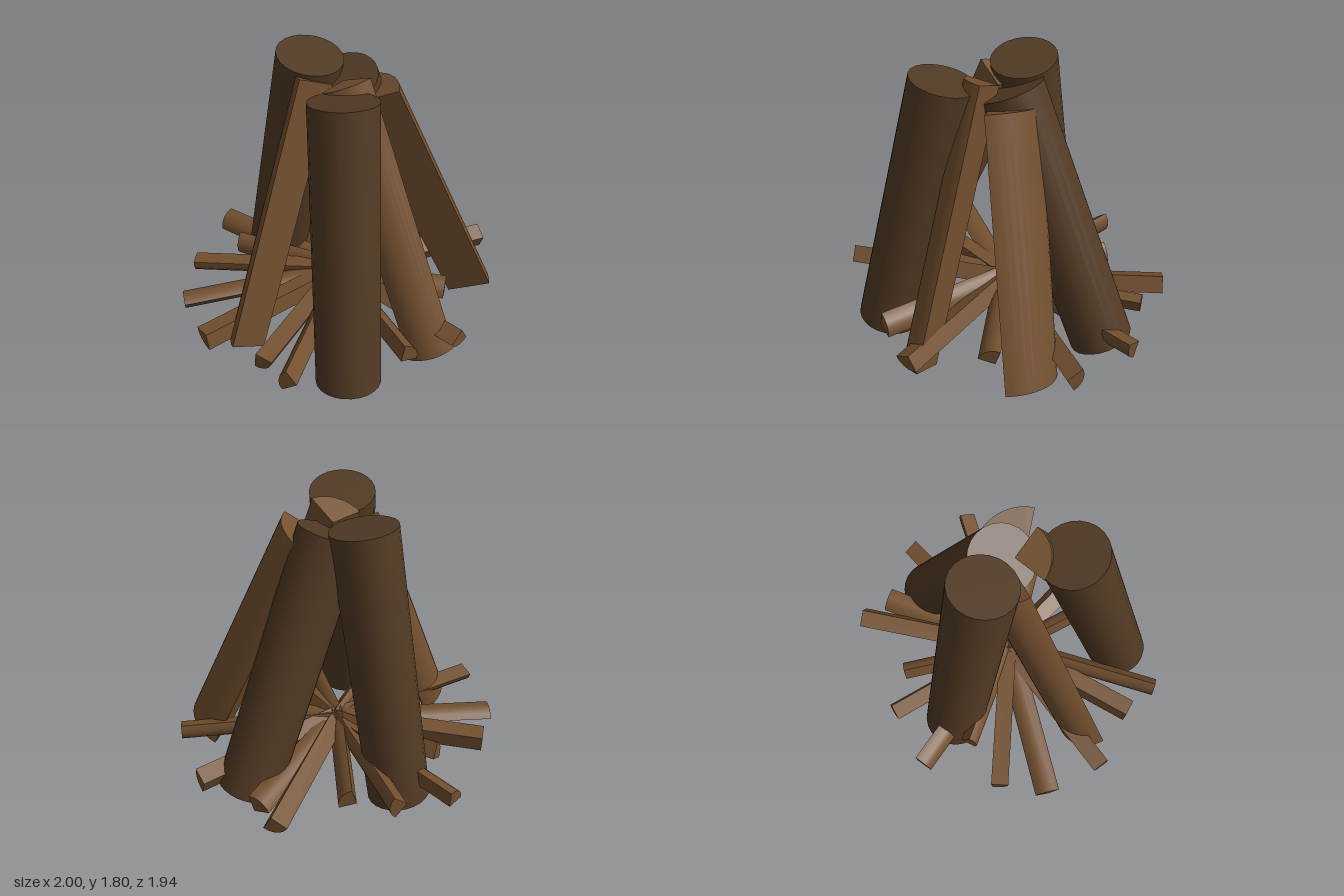
import * as THREE from 'three';
import { toCreasedNormals } from 'three/addons/utils/BufferGeometryUtils.js';

const V = (x, y, z) => new THREE.Vector3(x, y, z);
const bark = new THREE.MeshStandardMaterial({ color: 0x523a24 });
const splitWood = new THREE.MeshStandardMaterial({ color: 0x73502f });

// Whole round log between two end centres
function roundLog(name, bottom, top, radius) {
  const axis = top.clone().sub(bottom);
  const log = new THREE.Mesh(new THREE.CylinderGeometry(radius, radius, axis.length(), 24), bark);
  log.name = name;
  log.position.copy(bottom).lerp(top, 0.5);
  log.quaternion.setFromUnitVectors(V(0, 1, 0), axis.normalize());
  return log;
}

// Quarter-split log: the core edge runs start to end, the bark arc sweeps from u towards w x u.
// shift moves the section off the core edge, along the middle of the wedge.
function quarterLog(name, start, end, radius, u, shift = 0, segments = 10) {
  const shape = new THREE.Shape();
  shape.moveTo(shift, shift);
  shape.lineTo(radius + shift, shift);
  for (let i = 1; i <= segments; i++) {
    const a = (i / segments) * Math.PI / 2;
    shape.lineTo(radius * Math.cos(a) + shift, radius * Math.sin(a) + shift);
  }
  shape.closePath();
  const w = end.clone().sub(start);
  const geometry = toCreasedNormals(
    new THREE.ExtrudeGeometry(shape, { depth: w.length(), bevelEnabled: false }), 0.7);
  w.normalize();
  const x = u.clone().addScaledVector(w, -u.dot(w)).normalize();
  const y = w.clone().cross(x);
  geometry.applyMatrix4(new THREE.Matrix4().makeBasis(x, y, w).setPosition(start));
  const mesh = new THREE.Mesh(geometry, splitWood);
  mesh.name = name;
  return mesh;
}

export function createModel() {
  const group = new THREE.Group();
  group.name = 'campfireWood';

  // Three round logs leaning together
  group.add(
    roundLog('backLog', V(-0.01, 0.04, -0.58), V(-0.01, 1.76, -0.21), 0.195),
    roundLog('leftLog', V(0.72, 0.135, 0), V(0.04, 1.665, 0), 0.195),
    roundLog('frontRightLog', V(-0.55, 0.07, 0.53), V(-0.25, 1.735, 0.235), 0.195));

  // Three split logs between them
  group.add(
    quarterLog('frontSplitLog', V(-0.01, 0.09, 0.73), V(-0.01, 1.69, 0.04), 0.2, V(-1, 0, 0)),
    quarterLog('rightSplitLog', V(-0.72, 0.13, 0), V(-0.05, 1.66, -0.01), 0.21, V(0.42, 0, -0.9)),
    quarterLog('frontLeftSplitLog', V(0.43, 0.12, 0.58), V(-0.02, 1.57, 0.11), 0.28, V(0.12, 0.1, 0.23)));

  // Kindling radiating from the centre: outer end x, y, z
  const ends = [
    [-0.09, 0.245, -0.97], [0.28, 0.31, -0.84], [-0.57, 0.27, -0.76], [-0.83, 0.24, -0.59],
    [-0.99, 0.26, -0.23], [-0.25, 0.3, -0.67], [0.43, 0.27, -0.58], [0.89, 0.3, -0.49],
    [0.85, 0.28, -0.28], [0.99, 0.265, 0.12], [0.85, 0.3, 0.53], [0.31, 0.25, 0.62],
    [-0.04, 0.285, 0.96], [-0.33, 0.31, 0.81], [-0.94, 0.3, 0.39], [-0.9, 0.25, 0.17]];
  const kindling = new THREE.Group();
  kindling.name = 'kindling';
  ends.forEach(([x, y, z], i) => {
    const side = V(z, 0, -x).normalize();
    const roll = i * 2.4;
    const u = side.multiplyScalar(Math.cos(roll)).add(V(0, Math.sin(roll), 0));
    kindling.add(quarterLog('kindlingStick', V(0, 0.27, 0), V(x, y, z), 0.11, u, -0.05, 5));
  });
  group.add(kindling);
  return group;
}
